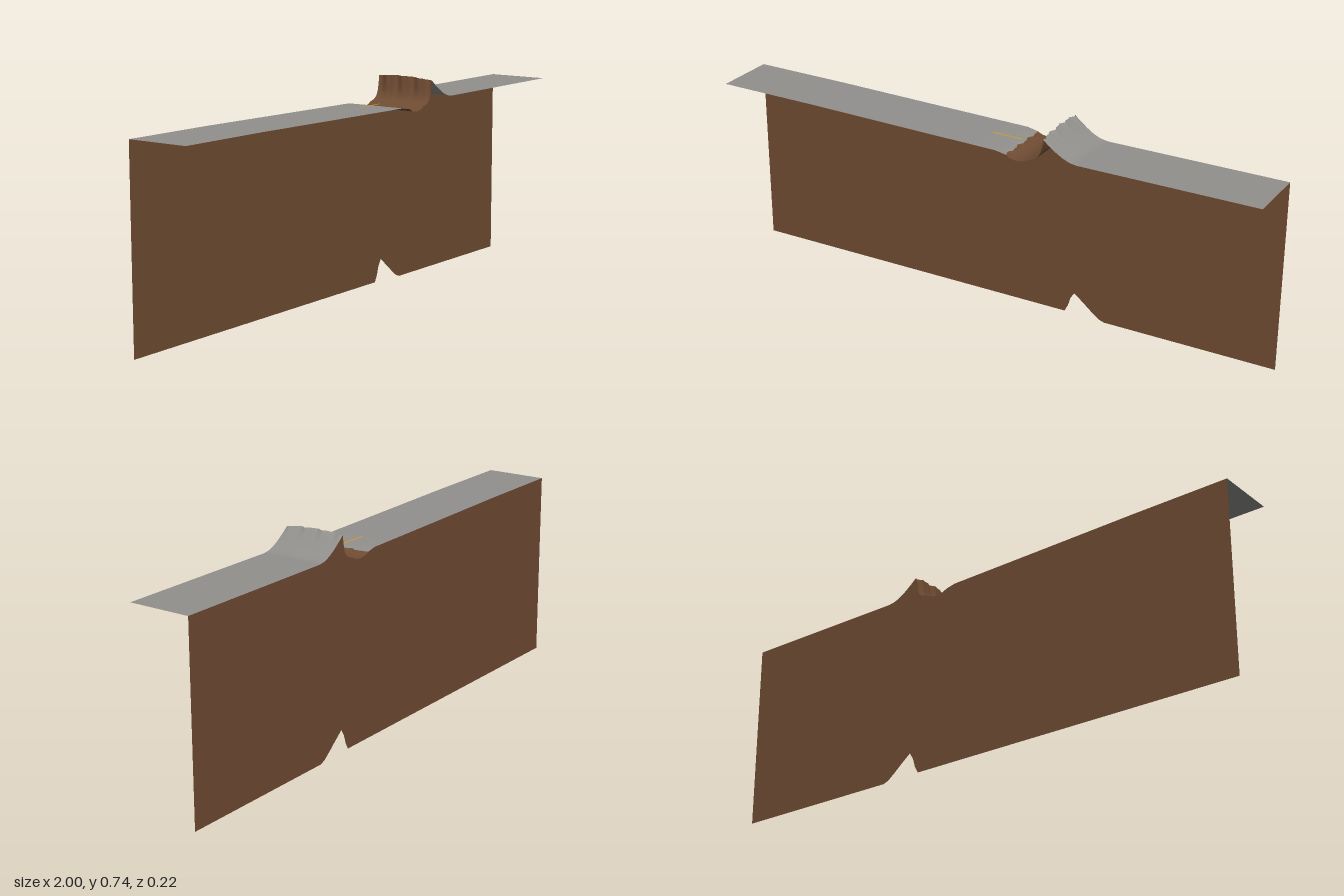
import * as THREE from 'three';

const HALF = 0.11; // half the road's width

// Road profile along x, in three stretches: [x, y]
const LEFT = [[-1, 0.669], [-0.65, 0.667], [-0.3, 0.662], [0, 0.658], [0.08, 0.657], [0.12, 0.65]];
const DIP = [[0.12, 0.65], [0.135, 0.641], [0.16, 0.637], [0.185, 0.641], [0.205, 0.651], [0.225, 0.657],
  [0.238, 0.668], [0.246, 0.684], [0.25, 0.705], [0.254, 0.732]];
const RIGHT = [[0.254, 0.732], [0.275, 0.716], [0.3, 0.698], [0.325, 0.683], [0.35, 0.673], [0.375, 0.669], [0.7, 0.669], [1, 0.669]];

// The crest bulges slightly towards the middle of the road
function lift(y, z) {
  const h = THREE.MathUtils.clamp((y - 0.67) / 0.06, 0, 1);
  return y + 0.009 * h * Math.max(0, 1 - ((z + 0.015) / 0.125) ** 2);
}

// Ragged break in the paving, fading out away from the two broken edges
function ragged(x, z) {
  const near = Math.max(0, 1 - Math.min(Math.abs(x - 0.12), Math.abs(x - 0.254)) / 0.012);
  return x + near * (0.004 * Math.sin(z * 95 + x * 20) + 0.003 * Math.sin(z * 190 + 1));
}

// Sweep a profile across the road's width
function sweep(profile, name, material) {
  const g = new THREE.PlaneGeometry(1, 1, profile.length - 1, 24);
  const pos = g.attributes.position;
  for (let i = 0; i < pos.count; i++) {
    const [x, y] = profile[i % profile.length];
    const z = -pos.getY(i) * 2 * HALF;
    pos.setXYZ(i, ragged(x, z), lift(y, z), z);
  }
  g.computeVertexNormals();
  const mesh = new THREE.Mesh(g, material);
  mesh.name = name;
  return mesh;
}

export function createModel() {
  const group = new THREE.Group();
  group.name = 'brokenRoad';
  const paving = new THREE.MeshStandardMaterial({ color: 0x92908d, side: THREE.DoubleSide });
  paving.name = 'grey paving';
  const earth = new THREE.MeshStandardMaterial({ color: 0x704c33, side: THREE.DoubleSide });
  earth.name = 'brown earth';
  const paint = new THREE.MeshStandardMaterial({ color: 0xd09a30, side: THREE.DoubleSide });
  paint.name = 'orange paint';

  // Paving on both sides of the bare, buckled dip
  group.add(
    sweep(LEFT, 'leftPaving', paving),
    sweep(DIP, 'bareDip', earth),
    sweep(RIGHT, 'rightPaving', paving),
  );

  // Earth wall under the back edge, notched below the crest
  const bottom = [[1, 0], [0.38, 0], [0.36, 0.007], [0.33, 0.03], [0.3, 0.055], [0.266, 0.082],
    [0.252, 0.06], [0.243, 0.03], [0.23, 0.005], [-1, 0.005]];
  const top = [...LEFT, ...DIP.slice(1), ...RIGHT.slice(1)].map(([x, y]) => [ragged(x, -HALF), lift(y, -HALF)]);
  const outline = [...top, ...bottom].map(([x, y]) => new THREE.Vector2(x, y));
  const wall = new THREE.Mesh(new THREE.ShapeGeometry(new THREE.Shape(outline)), earth);
  wall.name = 'earthWall';
  wall.position.z = -HALF;
  group.add(wall);

  // Remnant of the centre line
  const line = new THREE.Mesh(new THREE.PlaneGeometry(0.11, 0.007).rotateX(-Math.PI / 2), paint);
  line.name = 'centreLine';
  line.position.set(0.06, 0.6595, -0.008);
  group.add(line);

  return group;
}
